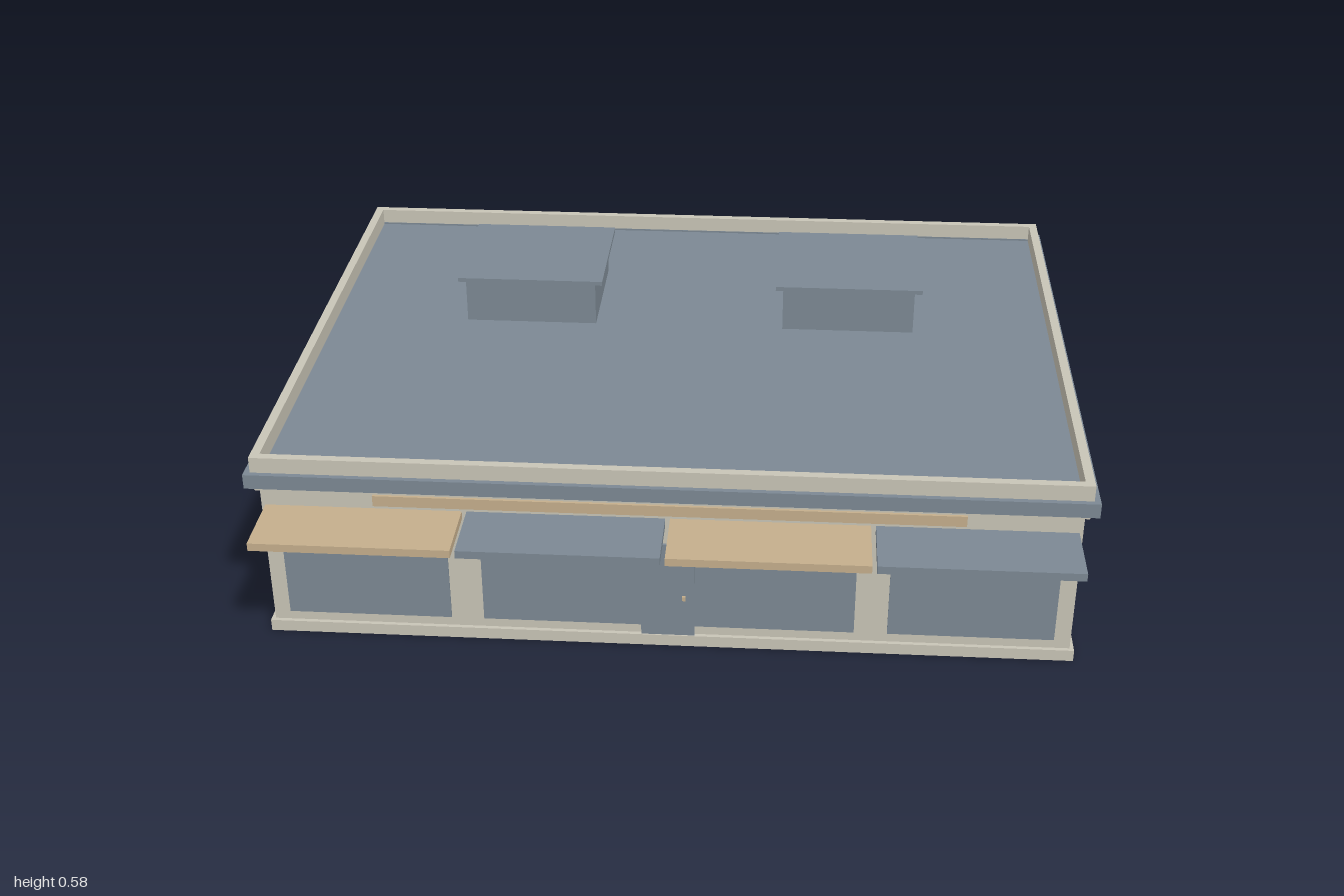
import * as THREE from 'three';

const mat = (name, color) => new THREE.MeshStandardMaterial({ name, color });

export function createModel() {
  const cream = mat('cream wall', 0xc8c4b6);
  const slate = mat('slate blue', 0x7c8893);
  const tan = mat('tan', 0xc4ae8c);

  const building = new THREE.Group();
  building.name = 'building';
  const ZC = -0.07; // middle of the building in depth
  const FRONT = 0.66, BACK = -0.80, SIDE = 0.97;

  // Box given by its limits on each axis
  const box = (name, material, x0, x1, y0, y1, z0, z1, parent = building) => {
    const mesh = new THREE.Mesh(new THREE.BoxGeometry(x1 - x0, y1 - y0, z1 - z0), material);
    mesh.position.set((x0 + x1) / 2, (y0 + y1) / 2, (z0 + z1) / 2);
    mesh.name = name;
    parent.add(mesh);
    return mesh;
  };

  // Rectangular ring around the building
  const ring = (name, material, hx, hz, inX, inZ, y0, y1) => {
    const rect = (P, a, b) => new P([[-a, -b], [a, -b], [a, b], [-a, b]].map(p => new THREE.Vector2(...p)));
    const shape = rect(THREE.Shape, hx, hz);
    shape.holes.push(rect(THREE.Path, inX, inZ));
    const geo = new THREE.ExtrudeGeometry(shape, { depth: y1 - y0, bevelEnabled: false });
    geo.rotateX(-Math.PI / 2);
    const mesh = new THREE.Mesh(geo, material);
    mesh.position.set(0, y0, ZC);
    mesh.name = name;
    building.add(mesh);
  };

  // Walls, plinth and roof
  box('walls', cream, -SIDE, SIDE, 0.002, 0.44, BACK, FRONT);
  box('plinth', cream, -0.98, 0.98, 0, 0.03, -0.81, 0.67);
  box('roof', slate, -0.97, 0.97, 0.43, 0.45, -0.805, 0.65);
  ring('lowerCornice', cream, 0.98, 0.74, 0.96, 0.72, 0.405, 0.42);
  ring('corniceBand', slate, 1.0, 0.755, 0.965, 0.72, 0.418, 0.455);
  ring('parapet', cream, 0.985, 0.742, 0.963, 0.721, 0.44, 0.495);

  // Four-pane window, built facing +z around its own centre
  const paneWindow = (x, z, turn) => {
    const win = new THREE.Group();
    win.name = 'window';
    for (const sx of [-1, 1]) for (const sy of [-1, 1]) {
      const px = sx * 0.05, py = sy * 0.0445;
      box('pane', slate, px - 0.045, px + 0.045, py - 0.0395, py + 0.0395, -0.002, 0.004, win);
    }
    win.position.set(x, 0.211, z);
    win.rotation.y = turn;
    building.add(win);
  };
  for (const z of [0.345, -0.07, -0.487]) {
    paneWindow(SIDE, z, Math.PI / 2);
    paneWindow(-SIDE, z, -Math.PI / 2);
  }
  for (const x of [-0.7, -0.35, 0, 0.35, 0.7]) paneWindow(x, BACK, Math.PI);

  // Shop front: display windows, door with handle, sign strip
  for (const [x0, x1] of [[-0.93, -0.53], [-0.45, -0.045], [0.045, 0.45], [0.53, 0.93]]) {
    box('displayWindow', slate, x0, x1, 0.055, 0.30, FRONT - 0.002, FRONT + 0.004);
  }
  box('door', slate, -0.065, 0.065, 0.03, 0.29, FRONT - 0.002, FRONT + 0.007);
  box('doorHandle', tan, 0.035, 0.043, 0.135, 0.146, FRONT + 0.006, FRONT + 0.014);
  box('signStrip', tan, -0.70, 0.70, 0.37, 0.398, FRONT - 0.002, FRONT + 0.007);

  // Alternating flat awnings
  for (let i = 0; i < 4; i++) {
    const x = -0.725 + i * 0.4835;
    box('awning', i % 2 ? slate : tan, x - 0.236, x + 0.236, 0.34, 0.36, FRONT - 0.002, 0.83);
  }

  // Rooftop units with overhanging lids
  for (const x of [-0.43, 0.425]) {
    box('roofUnit', slate, x - 0.175, x + 0.175, 0.44, 0.567, -0.508, -0.168);
    box('roofUnitLid', slate, x - 0.195, x + 0.195, 0.567, 0.578, -0.52, -0.16);
  }

  return building;
}
